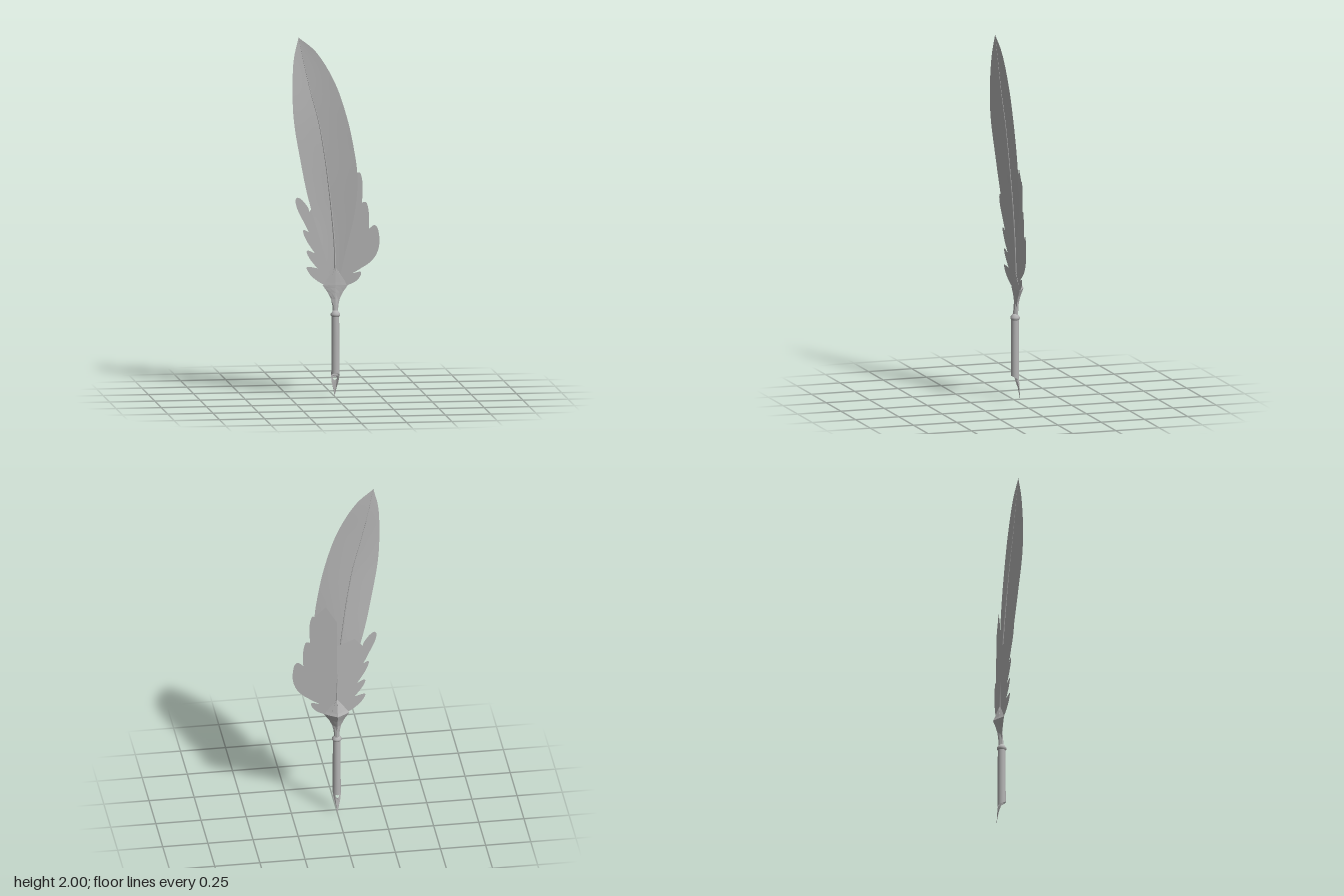
import * as THREE from 'three';

const V3 = (a) => a.map((p) => new THREE.Vector3(...p));
const V2 = (a) => a.map((p) => new THREE.Vector2(...p));
const AXIS_Z = -0.007; // axis of the handle

// Surface between two edge curves, bowed slightly along its width
function loft(edgeA, edgeB, rows, cols, bow) {
  const a = new THREE.CatmullRomCurve3(V3(edgeA)), b = new THREE.CatmullRomCurve3(V3(edgeB));
  const g = new THREE.PlaneGeometry(1, 1, cols, rows);
  const pos = g.attributes.position;
  for (let j = 0, i = 0; j <= rows; j++) {
    const p = a.getPoint(j / rows), q = b.getPoint(j / rows);
    for (let c = 0; c <= cols; c++, i++) {
      const u = c / cols, v = p.clone().lerp(q, u);
      pos.setXYZ(i, v.x, v.y, v.z + bow * Math.sin(u * Math.PI) * Math.sin((j / rows) * Math.PI));
    }
  }
  g.computeVertexNormals();
  return g;
}

// Flat outline made of splined lobes that meet at sharp notches
function lobedShape(lobes) {
  return new THREE.Shape(lobes.flatMap((l) =>
    l.length > 2 ? new THREE.SplineCurve(V2(l)).getPoints(l.length * 4) : V2(l)));
}

function bend(g, zOf) {
  const p = g.attributes.position;
  for (let i = 0; i < p.count; i++) p.setZ(i, zOf(p.getX(i), p.getY(i)));
  g.computeVertexNormals();
  return g;
}

export function createModel() {
  const grey = new THREE.MeshStandardMaterial({ color: 0xb4b4b4, side: THREE.DoubleSide });
  grey.name = 'grey';
  const group = new THREE.Group();
  const add = (name, geometry) => {
    const m = new THREE.Mesh(geometry, grey);
    m.name = name;
    group.add(m);
    return m;
  };

  // Main blade: two vanes that meet at the shaft
  const tip = [-0.21, 2, 0.037];
  const spine = [tip, [-0.185, 1.88, 0.031], [-0.14, 1.69, 0.024], [-0.096, 1.53, 0.016], [-0.058, 1.32, 0.006],
    [-0.035, 1.15, -0.002], [-0.02, 1.02, -0.007], [-0.003, 0.82, -0.012], [0, 0.64, -0.015]];
  const left = [tip, [-0.238, 1.88, 0.047], [-0.246, 1.69, 0.055], [-0.237, 1.53, 0.053], [-0.2, 1.32, 0.038],
    [-0.165, 1.15, 0.025], [-0.13, 1.02, 0.014], [-0.07, 0.82, 0], [-0.02, 0.64, -0.013]];
  const right = [tip, [-0.115, 1.92, 0.031], [-0.01, 1.75, 0.026], [0.06, 1.55, 0.021], [0.1, 1.37, 0.016],
    [0.12, 1.21, 0.013], [0.105, 1.02, 0.005], [0.06, 0.82, -0.005], [0.02, 0.64, -0.013]];
  add('rightVane', loft(left, spine, 48, 8, -0.002));
  add('leftVane', loft(spine, right, 48, 8, -0.002));

  // Shaft of the feather, tapering to the tip
  const path = new THREE.CatmullRomCurve3(V3(spine));
  const shaft = new THREE.TubeGeometry(path, 48, 0.006, 8);
  const sp = shaft.attributes.position;
  for (let i = 0; i < sp.count; i++) {
    const t = Math.floor(i / 9) / 48, c = path.getPointAt(t);
    const v = new THREE.Vector3().fromBufferAttribute(sp, i).sub(c).multiplyScalar(0.1 + 0.9 * t).add(c);
    sp.setXYZ(i, v.x, v.y, v.z);
  }
  shaft.computeVertexNormals();
  add('shaft', shaft);

  // Lower barbs: lobed layers on both sides, just behind the blade
  const barbZ = (x) => -0.016 + 0.11 * Math.abs(x);
  const rightBarbs = lobedShape([
    [[0, 0.63], [0, 1.05]], [[-0.1, 1.08], [-0.145, 1.03]],
    [[-0.15, 1.05], [-0.18, 1.09], [-0.21, 1.11], [-0.223, 1.09], [-0.21, 1.04], [-0.18, 0.98], [-0.145, 0.91]],
    [[-0.145, 0.915], [-0.175, 0.93], [-0.178, 0.91], [-0.155, 0.86], [-0.115, 0.8]],
    [[-0.118, 0.8], [-0.15, 0.815], [-0.16, 0.805], [-0.14, 0.765], [-0.1, 0.715]],
    [[-0.103, 0.716], [-0.15, 0.725], [-0.16, 0.715], [-0.135, 0.675], [-0.085, 0.635], [-0.03, 0.612]],
  ]);
  const leftBarbs = lobedShape([
    [[0, 0.63], [0, 1.2]], [[0.06, 1.3], [0.11, 1.25]],
    [[0.118, 1.235], [0.135, 1.24], [0.147, 1.2], [0.15, 1.14], [0.146, 1.08]],
    [[0.146, 1.075], [0.17, 1.075], [0.182, 1.03], [0.185, 0.98], [0.183, 0.93]],
    [[0.185, 0.93], [0.215, 0.95], [0.235, 0.92], [0.241, 0.85], [0.225, 0.79], [0.19, 0.745], [0.13, 0.705], [0.095, 0.685]],
    [[0.1, 0.685], [0.138, 0.692], [0.135, 0.665], [0.105, 0.635], [0.05, 0.612]],
  ]);
  add('rightBarbs', bend(new THREE.ShapeGeometry(rightBarbs), barbZ));
  add('leftBarbs', bend(new THREE.ShapeGeometry(leftBarbs), barbZ));

  // Ferrule: diamond sections flaring up to a ridge, then to a point [y, half width, back, front]
  const sections = [[0.47, 0.015, 0.015, 0.015], [0.51, 0.017, 0.016, 0.012], [0.545, 0.025, 0.02, 0.009],
    [0.58, 0.042, 0.03, 0.007], [0.605, 0.06, 0.04, 0.006], [0.62, 0.07, 0.046, 0.006],
    [0.635, 0.058, 0.038, 0.005], [0.72, 0.001, 0.006, 0.001]];
  const pts = [], idx = [];
  sections.forEach(([y, w, b, f], j) => {
    const round = j < 2 ? 0.7 : 0.52;
    pts.push(-w, y, 0, -w * round, y, f * round, 0, y, f, w * round, y, f * round,
      w, y, 0, w * round, y, -b * round, 0, y, -b, -w * round, y, -b * round);
    if (j) for (let k = 0; k < 8; k++) {
      const a = (j - 1) * 8 + k, b2 = (j - 1) * 8 + (k + 1) % 8;
      idx.push(a, b2, a + 8, b2, b2 + 8, a + 8);
    }
  });
  let ferrule = new THREE.BufferGeometry();
  ferrule.setAttribute('position', new THREE.Float32BufferAttribute(pts, 3));
  ferrule.setIndex(idx);
  ferrule = ferrule.toNonIndexed();
  ferrule.computeVertexNormals();
  add('ferrule', ferrule).position.z = AXIS_Z - 0.003;

  // Rounded collar between ferrule and handle
  add('collar', new THREE.LatheGeometry(V2([[0, 0.445], [0.02, 0.445], [0.026, 0.452], [0.026, 0.462],
    [0.019, 0.47], [0.014, 0.48], [0, 0.48]]), 24)).position.z = AXIS_Z;

  // Hollow handle with a slanted lower rim
  const R = 0.023;
  const handle = new THREE.CylinderGeometry(R - 0.002, R, 0.32, 24, 1, true).translate(0, 0.29, 0);
  const hp = handle.attributes.position;
  for (let i = 0; i < hp.count; i++) if (hp.getY(i) < 0.2) hp.setY(i, 0.122 + 0.55 * hp.getZ(i));
  add('handle', handle).position.z = AXIS_Z;

  // Curved nib with a round vent, leaning back to its point
  const nibShape = new THREE.Shape();
  nibShape.moveTo(0, 0);
  nibShape.quadraticCurveTo(0.008, 0.045, 0.017, 0.075);
  nibShape.quadraticCurveTo(0.0225, 0.1, 0.0225, 0.125);
  for (let a = 1; a < 12; a++) nibShape.lineTo(0.0225 * Math.cos((a / 12) * Math.PI), 0.125);
  nibShape.lineTo(-0.0225, 0.125);
  nibShape.quadraticCurveTo(-0.0225, 0.1, -0.017, 0.075);
  nibShape.quadraticCurveTo(-0.008, 0.045, 0, 0);
  nibShape.holes.push(new THREE.Path().absarc(0, 0.104, 0.011, 0, Math.PI * 2, true));
  add('nib', bend(new THREE.ShapeGeometry(nibShape, 12), (x, y) =>
    AXIS_Z - Math.sqrt(Math.max(0, R * R - x * x)) - 0.005 * Math.max(0, 1 - y / 0.1)));

  return group;
}
